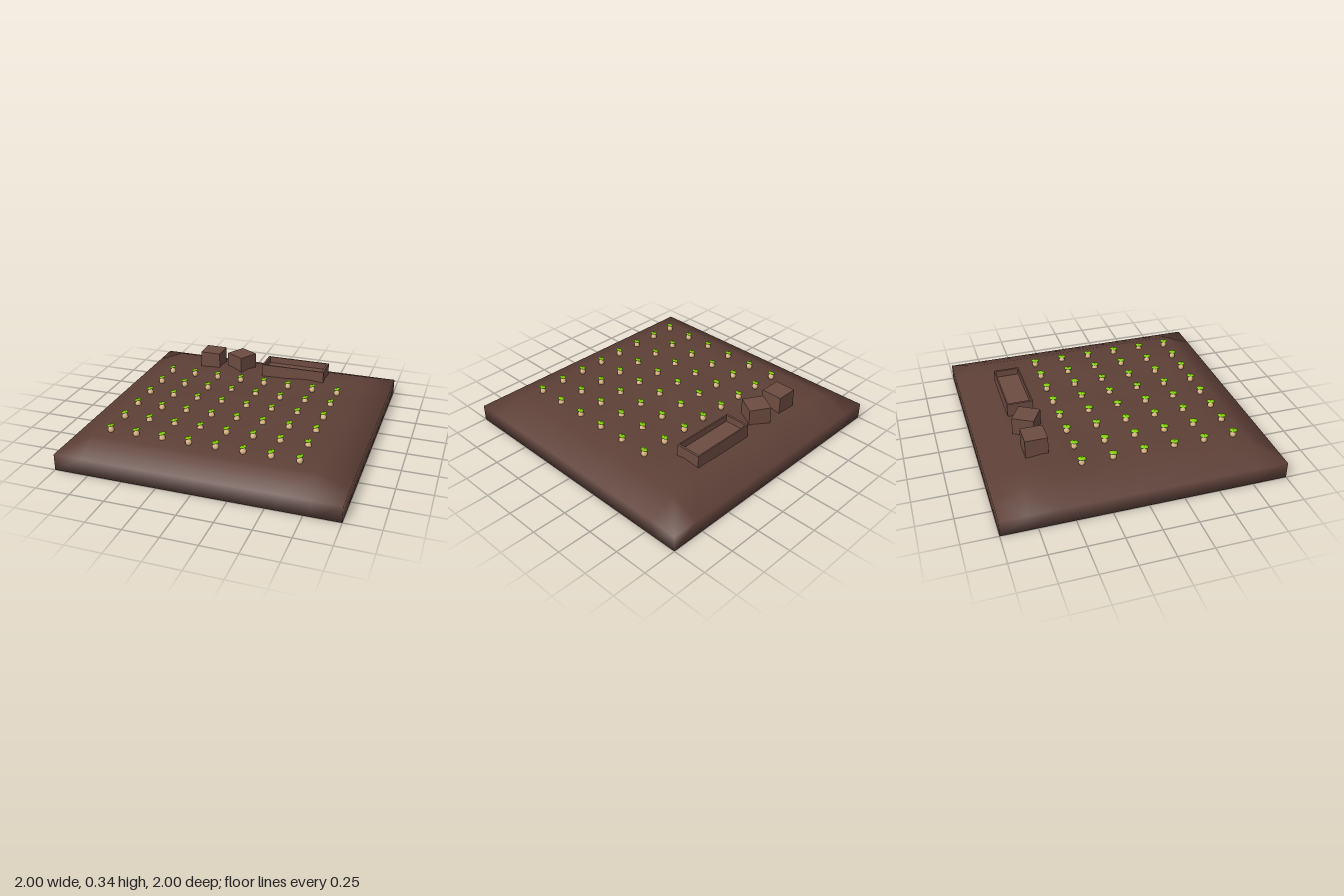
import * as THREE from 'three';
import { mergeVertices } from 'three/addons/utils/BufferGeometryUtils.js';

const mat = (color, side = THREE.FrontSide) => new THREE.MeshStandardMaterial({ color, side });
const soil = mat(0x5d4037);
const wood = mat(0x6d4c41);
const root = mat(0xdeb887);
const green = mat(0x7fcc00, THREE.DoubleSide);

function add(parent, name, geometry, material, x = 0, y = 0, z = 0) {
  const mesh = new THREE.Mesh(geometry, material);
  mesh.name = name;
  mesh.position.set(x, y, z);
  parent.add(mesh);
  return mesh;
}

// Repeatable bump value from 0 to 1
function bump(x, z) {
  const s = Math.sin(x * 61.3 + z * 37.7 + 2.1) * 437.58;
  return s - Math.floor(s);
}

// Soil height: low rim, even shoulder, bumpy middle with one flat furrow
function soilHeight(x, z) {
  const edge = Math.max(Math.abs(x), Math.abs(z));
  if (edge > 0.95) return 0.12;
  if (edge > 0.75) return x < -0.7 && z > -0.7 && z < 0.7 ? 0.21 : 0.2;
  if (Math.abs(z + 0.4) < 0.05) return 0.196;
  return 0.2 + 0.038 * bump(Math.round(x * 5), Math.round(z * 5));
}

function soilGeometry() {
  let geo = new THREE.BoxGeometry(2, 0.12, 2, 10, 1, 10);
  geo.translate(0, 0.06, 0);
  const p = geo.attributes.position;
  for (let i = 0; i < p.count; i++) {
    if (p.getY(i) > 0.06) p.setY(i, soilHeight(p.getX(i), p.getZ(i)));
  }
  // Shared corners give soft shading around the whole bed
  geo.deleteAttribute('uv');
  geo.deleteAttribute('normal');
  geo = mergeVertices(geo);
  geo.computeVertexNormals();
  return geo;
}

export function createModel() {
  const model = new THREE.Group();
  model.name = 'vegetablePatch';
  add(model, 'soilBed', soilGeometry(), soil);

  // Crates
  const crate = new THREE.BoxGeometry(0.16, 0.16, 0.16);
  add(model, 'crate', crate, wood, -0.445, 0.26, -0.637);
  add(model, 'turnedCrate', crate, wood, -0.2, 0.26, -0.635).rotation.y = -Math.PI / 6;

  // Open trough
  const trough = new THREE.Group();
  trough.name = 'trough';
  trough.position.set(0.253, 0.205, -0.635);
  model.add(trough);
  add(trough, 'troughFloor', new THREE.BoxGeometry(0.48, 0.05, 0.18), wood, 0, 0.025, 0);
  for (const s of [-1, 1]) {
    add(trough, 'troughSide', new THREE.BoxGeometry(0.5, 0.1, 0.01), wood, 0, 0.05, s * 0.09);
    add(trough, 'troughEnd', new THREE.BoxGeometry(0.016, 0.1, 0.17), wood, s * 0.242, 0.05, 0);
  }

  // Root vegetable: pear-shaped body, thin stalk, drooping leaf cap
  const profile = [[0, 0], [0.014, 0.004], [0.023, 0.018], [0.022, 0.03], [0.015, 0.046], [0.008, 0.055], [0, 0.059]];
  const bodyGeo = new THREE.LatheGeometry(profile.map(([r, y]) => new THREE.Vector2(r, y)), 10);
  const stalkGeo = new THREE.CylinderGeometry(0.002, 0.003, 0.016, 5);
  const leafGeo = new THREE.SphereGeometry(1, 10, 4, 0, Math.PI * 2, 0, Math.PI / 2);
  leafGeo.scale(0.022, 0.009, 0.031);
  leafGeo.rotateY(-0.3);
  leafGeo.rotateZ(0.12);

  for (let row = 0; row < 6; row++) {
    for (let col = 0; col < 8; col++) {
      const plant = new THREE.Group();
      plant.name = 'plant';
      plant.position.set(-0.702 + col * 0.193, 0.2, -0.375 + row * 0.2185);
      add(plant, 'root', bodyGeo, root);
      add(plant, 'stalk', stalkGeo, green, 0, 0.058, 0);
      add(plant, 'leaf', leafGeo, green, 0, 0.054, 0);
      model.add(plant);
    }
  }
  return model;
}
